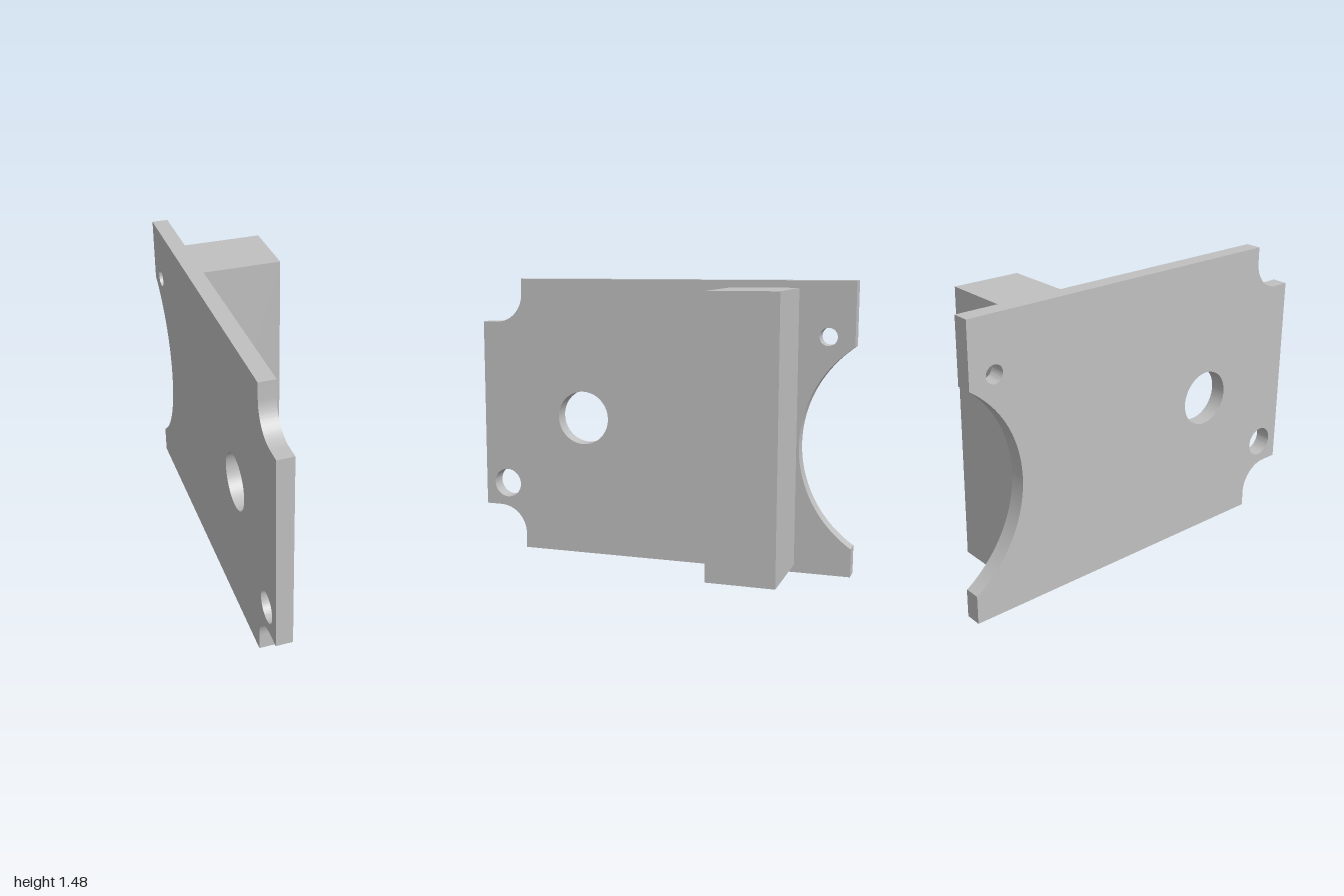
import * as THREE from 'three';
import { toCreasedNormals } from 'three/addons/utils/BufferGeometryUtils.js';

const TILT = 0.009; // slight lean of the whole bracket
const MID_Y = 0.735;

// Extrude a side profile (u = -z, v = y) along x, from x0 to x1
function extrudeAlongX(shape, x0, x1) {
  const geo = new THREE.ExtrudeGeometry(shape, { depth: x1 - x0, bevelEnabled: false, curveSegments: 32 });
  geo.rotateY(Math.PI / 2);
  geo.translate(x0, -MID_Y, 0);
  geo.rotateZ(TILT);
  geo.translate(0, MID_Y, 0);
  return toCreasedNormals(geo, 0.5);
}

function plateShape() {
  const s = new THREE.Shape();
  s.moveTo(-0.765, 0);
  s.lineTo(1, 0.02);
  s.lineTo(1, 0.165);
  // large curved cutout in the rear edge
  s.absarc(1.327, 0.665, 0.6, Math.atan2(-0.5, -0.327), Math.atan2(0.495, -0.342), true);
  s.lineTo(0.985, 1.475);
  s.lineTo(-0.775, 1.46);
  // upper front corner notch
  s.absarc(-0.925, 1.38, 0.15, 0, -Math.PI / 2, true);
  s.lineTo(-1, 1.23);
  s.lineTo(-1, 0.23);
  // lower front corner notch
  s.absarc(-0.915, 0.08, 0.15, Math.PI / 2, 0, true);
  s.closePath();
  // round holes: u, v, radius
  for (const [u, v, r] of [[-0.425, 0.737, 0.14], [-0.873, 0.353, 0.077], [0.857, 1.205, 0.044]]) {
    s.holes.push(new THREE.Path().absarc(u, v, r, 0, Math.PI * 2, true));
  }
  return s;
}

export function createModel() {
  const group = new THREE.Group();
  group.name = 'bracket';
  const grey = new THREE.MeshStandardMaterial({ color: 0xc0c0c0 });
  grey.name = 'light grey';

  const plate = new THREE.Mesh(extrudeAlongX(plateShape(), -0.25, -0.169), grey);
  plate.name = 'plate';

  // Upright block standing out from the plate
  const blockShape = new THREE.Shape([[0.375, 0.051], [0.718, 0.055], [0.709, 1.437], [0.363, 1.433]]
    .map(([u, v]) => new THREE.Vector2(u, v)));
  const block = new THREE.Mesh(extrudeAlongX(blockShape, -0.169, 0.248), grey);
  block.name = 'block';

  group.add(plate, block);
  return group;
}
